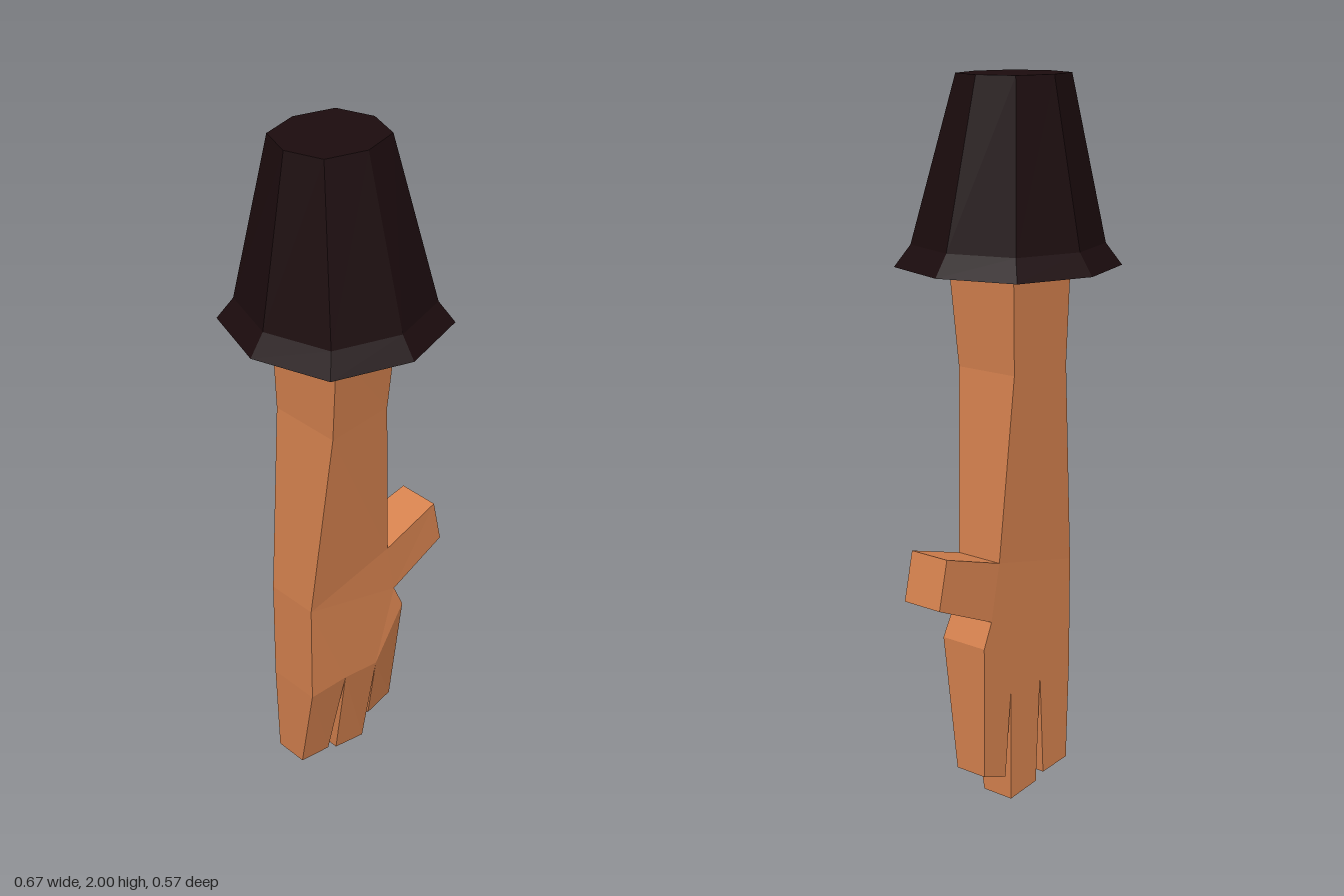
import * as THREE from 'three';

const skin = new THREE.MeshStandardMaterial({ color: 0xd98450, flatShading: true });
const cloth = new THREE.MeshStandardMaterial({ color: 0x1c0c0e, flatShading: true });

// Hand outline, anticlockwise from the front: [x, y, front z, back z]
const outline = [
  [-0.165, 1.5, 0.13, -0.12], [-0.158, 1.22, 0.107, -0.113],  // outer forearm, wrist
  [-0.2, 0.65, 0.06, -0.1], [-0.2, 0.34, 0.06, -0.1],         // outer palm
  [-0.19, 0.05, 0, -0.1], [-0.087, 0.037, 0, -0.1],           // little finger tip
  [-0.071, 0.34, 0.06, -0.1],                                 // first gap
  [-0.055, 0.02, 0, -0.1], [0.053, 0.003, 0, -0.1],           // middle finger tip
  [0.055, 0.32, 0.055, -0.1],                                 // second gap
  [0.077, 0.078, 0, -0.1], [0.165, 0.107, 0, -0.1],           // index finger tip
  [0.165, 0.48, 0.05, -0.1], [0.135, 0.55, 0.045, -0.1],      // knuckle, thumb root
  [0.33, 0.63, 0.036, -0.09], [0.3, 0.765, 0.036, -0.09],     // thumb tip
  [0.103, 0.71, 0.048, -0.1],                                 // thumb root, upper
  [0.058, 1.22, 0.085, -0.113], [0.07, 1.5, 0.11, -0.12],     // inner wrist, forearm
];

// Convex pieces of the outline, each drawn as a fan
const pieces = [
  [0, 1, 17, 18], [1, 2, 16, 17],                   // forearm
  [2, 13, 16], [2, 3, 6, 9, 13], [9, 12, 13],       // palm
  [3, 4, 5, 6], [6, 7, 8, 9], [9, 10, 11, 12],      // fingers
  [13, 14, 15, 16],                                 // thumb
];

function handGeometry() {
  const pos = [];
  const front = (i) => [outline[i][0], outline[i][1], outline[i][2]];
  const back = (i) => [outline[i][0], outline[i][1], outline[i][3]];
  const tri = (a, b, c) => pos.push(...a, ...b, ...c);
  for (const p of pieces) {
    for (let k = 1; k < p.length - 1; k++) {
      tri(front(p[0]), front(p[k]), front(p[k + 1]));
      tri(back(p[0]), back(p[k + 1]), back(p[k]));
    }
  }
  // side walls
  outline.forEach((_, i) => {
    const j = (i + 1) % outline.length;
    tri(front(i), back(i), back(j));
    tri(front(i), back(j), front(j));
  });
  const g = new THREE.BufferGeometry();
  g.setAttribute('position', new THREE.Float32BufferAttribute(pos, 3));
  g.computeVertexNormals();
  return g;
}

// Eight-sided sleeve: each ring is [y, x radius, z radius, z centre]
function sleeveGeometry() {
  const rings = [[2, 0.15, 0.137, -0.018], [1.55, 0.245, 0.245, 0], [1.49, 0.287, 0.287, 0]];
  const g = new THREE.CylinderGeometry(1, 1, 2, 8, 2);
  const p = g.attributes.position;
  for (let i = 0; i < p.count; i++) {
    const [y, rx, rz, cz] = rings[Math.round(1 - p.getY(i))];
    const x = p.getX(i), z = p.getZ(i);
    const bulge = Math.abs(x * z) > 0.1 ? 1.07 : 1; // diagonal corners sit further out
    p.setXYZ(i, x * rx * bulge, y, z * rz * bulge + cz);
  }
  const flat = g.toNonIndexed();
  flat.computeVertexNormals();
  return flat;
}

export function createModel() {
  const group = new THREE.Group();
  group.name = 'armWithSleeve';

  const hand = new THREE.Mesh(handGeometry(), skin);
  hand.name = 'forearmAndHand';

  const sleeve = new THREE.Mesh(sleeveGeometry(), cloth);
  sleeve.name = 'sleeve';
  sleeve.position.x = -0.048;

  group.add(hand, sleeve);
  return group;
}
